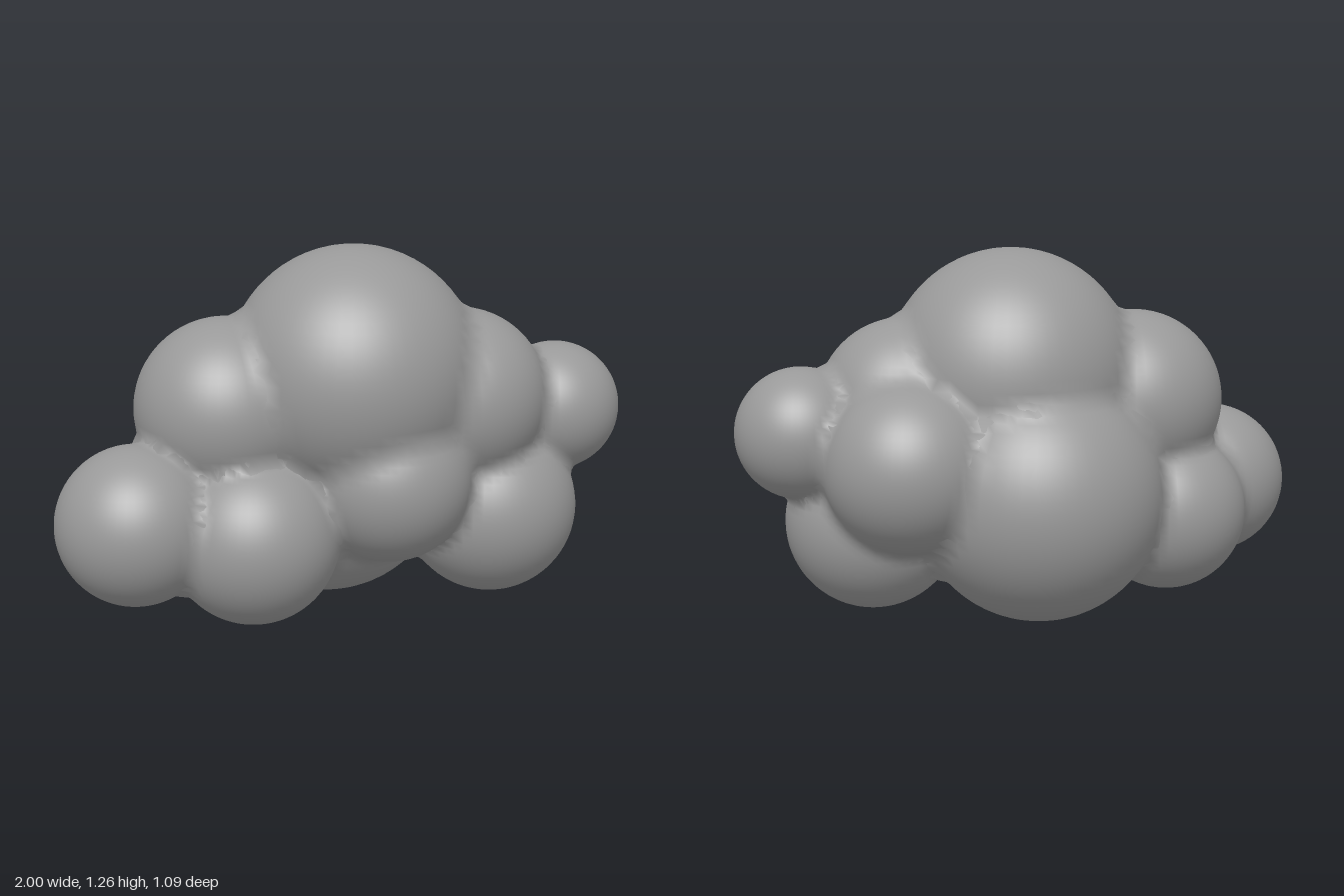
import * as THREE from 'three';

// Puffs of the cloud: name, centre x, y, z, radius
const PUFFS = [
  ['topPuff', 0.04, 0.83, 0.073, 0.432],
  ['backCentrePuff', -0.02, 0.43, -0.11, 0.43],
  ['frontCentrePuff', 0.13, 0.49, 0.235, 0.28],
  ['upperRightPuff', -0.4, 0.725, 0.07, 0.31],
  ['frontRightPuff', -0.34, 0.32, 0.255, 0.29],
  ['backRightPuff', -0.5, 0.335, -0.01, 0.28],
  ['rightEndPuff', -0.73, 0.385, 0.23, 0.27],
  ['upperLeftPuff', 0.41, 0.725, 0.08, 0.305],
  ['lowerLeftPuff', 0.525, 0.325, 0.083, 0.305],
  ['backLeftPuff', 0.435, 0.56, -0.17, 0.29],
  ['leftEndPuff', 0.775, 0.655, 0.025, 0.225],
];
const BLEND = 0.045;
const MAX_FILLET = 0.04;

// Distance to the softly merged puffs (negative inside)
function cloudDistance(p) {
  let d = Infinity;
  for (const [, x, y, z, r] of PUFFS) {
    const e = Math.hypot(p.x - x, p.y - y, p.z - z) - r;
    const h = Math.max(BLEND - Math.abs(d - e), 0);
    d = Math.min(d, e) - (h * h) / (4 * BLEND);
  }
  return d;
}

// Outward direction of the merged surface
function cloudNormal(p) {
  const s = 0.004;
  const slope = axis => {
    const a = p.clone(), b = p.clone();
    a[axis] += s;
    b[axis] -= s;
    return cloudDistance(a) - cloudDistance(b);
  };
  return new THREE.Vector3(slope('x'), slope('y'), slope('z')).normalize();
}

// A sphere whose vertices near a crease are pushed out into a soft fillet
function makePuff([name, x, y, z, r], material) {
  const geometry = new THREE.SphereGeometry(1, 56, 36);
  const { position, normal } = geometry.attributes;
  const centre = new THREE.Vector3(x, y, z);
  const dir = new THREE.Vector3();
  const p = new THREE.Vector3();
  for (let i = 0; i < position.count; i++) {
    dir.fromBufferAttribute(position, i).normalize();
    let t = r;
    for (let step = 0; step < 12; step++) {
      p.copy(centre).addScaledVector(dir, t);
      t = Math.min(t + Math.max(-cloudDistance(p), 0), r + MAX_FILLET);
    }
    p.copy(centre).addScaledVector(dir, t);
    const n = cloudNormal(p);
    position.setXYZ(i, p.x, p.y, p.z);
    normal.setXYZ(i, n.x, n.y, n.z);
  }
  const mesh = new THREE.Mesh(geometry, material);
  mesh.name = name;
  return mesh;
}

export function createModel() {
  const cloud = new THREE.Group();
  cloud.name = 'cloud';
  const material = new THREE.MeshStandardMaterial({ color: 0x999999 });
  for (const puff of PUFFS) cloud.add(makePuff(puff, material));
  return cloud;
}
